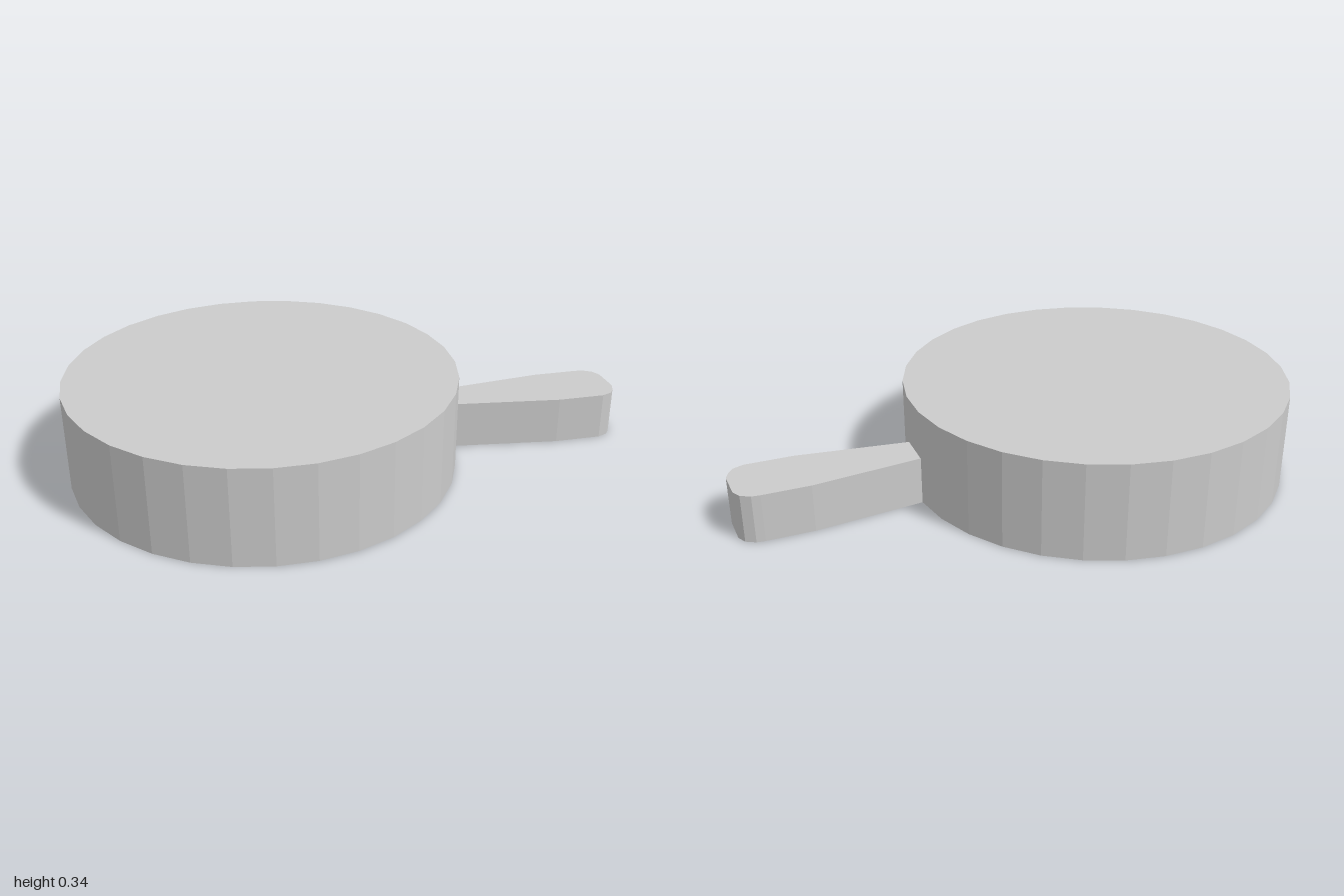
import * as THREE from 'three';

export function createModel() {
  const group = new THREE.Group();
  const material = new THREE.MeshStandardMaterial({ color: 0xcccccc, flatShading: true });

  // Solid round pan body
  const radius = 0.686, height = 0.345;
  const body = new THREE.Mesh(new THREE.CylinderGeometry(radius, radius, height, 32), material);
  body.name = 'panBody';
  body.position.set(radius - 1, height / 2, 0);
  group.add(body);

  // Flared handle: plan outline as [x, z], raised to half the body height
  const outline = [
    [0.34, -0.006], [0.77, 0.005], [0.94, -0.012], [0.975, -0.03], [0.99, -0.055],
    [1, -0.09], [0.985, -0.19], [0.965, -0.22], [0.93, -0.235], [0.9, -0.235],
    [0.735, -0.218], [0.34, -0.133],
  ];
  const shape = new THREE.Shape(outline.map(([x, z]) => new THREE.Vector2(x, -z)));
  const handleGeometry = new THREE.ExtrudeGeometry(shape, { depth: 0.172, bevelEnabled: false });
  handleGeometry.rotateX(-Math.PI / 2);
  const handle = new THREE.Mesh(handleGeometry, material);
  handle.name = 'handle';
  group.add(handle);

  return group;
}
